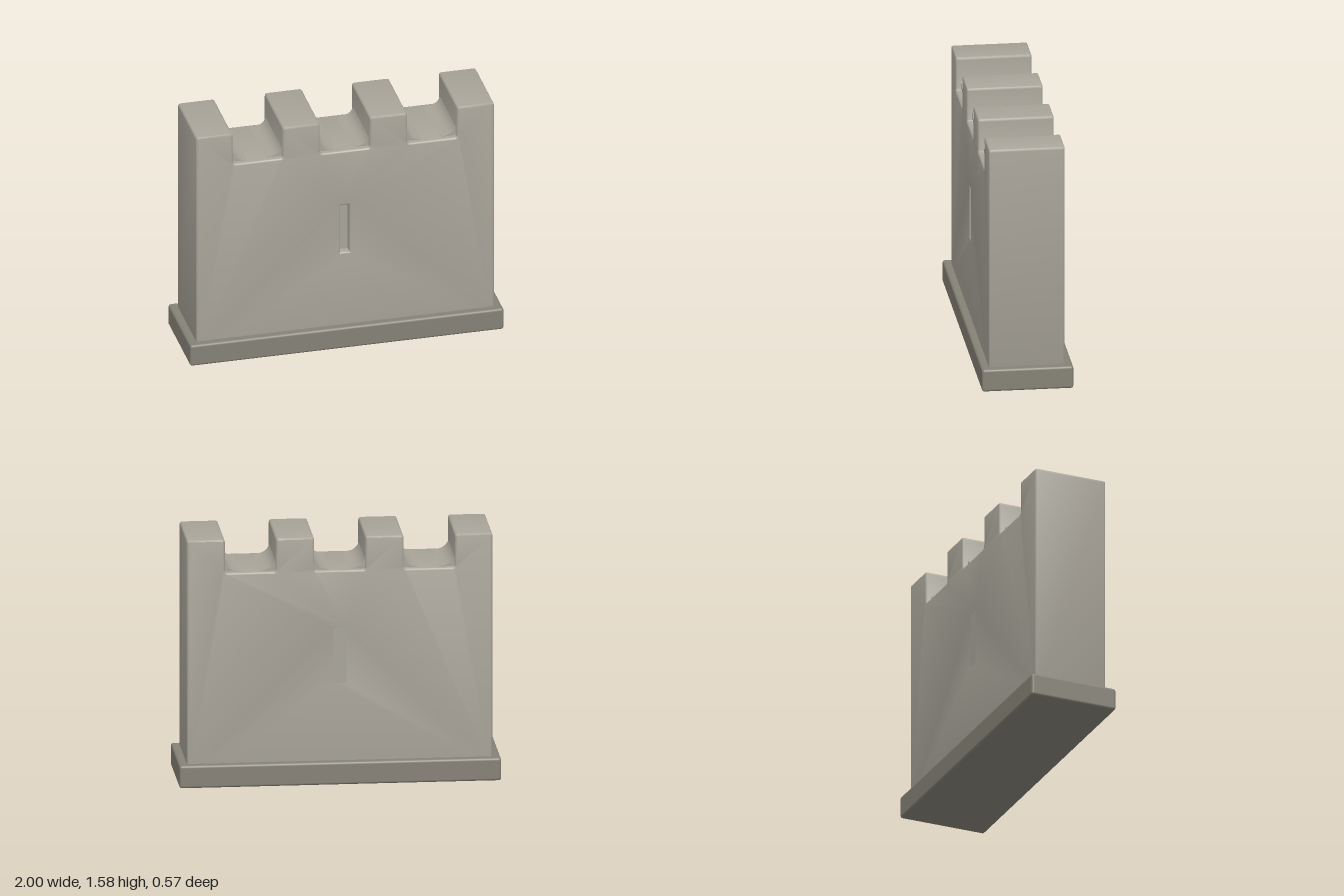
import * as THREE from 'three';
import { toCreasedNormals } from 'three/addons/utils/BufferGeometryUtils.js';
import { RoundedBoxGeometry } from 'three/addons/geometries/RoundedBoxGeometry.js';

const HALF_WIDTH = 0.95, HALF_DEPTH = 0.237, FLOOR = 1.36, TOP = 1.575, BASE = 0.145;
const GAPS = [[-0.717, -0.398], [-0.16, 0.158], [0.396, 0.713]];

// Closed outline with every corner softened by radius r
function roundedShape(points, r) {
  const shape = new THREE.Shape();
  const p = points.map(([x, y]) => new THREE.Vector2(x, y));
  p.forEach((corner, i) => {
    const toward = (q) => corner.clone().add(q.clone().sub(corner).setLength(r));
    const a = toward(p[(i + p.length - 1) % p.length]);
    const b = toward(p[(i + 1) % p.length]);
    if (i === 0) shape.moveTo(a.x, a.y);
    else shape.lineTo(a.x, a.y);
    shape.quadraticCurveTo(corner.x, corner.y, b.x, b.y);
  });
  shape.closePath();
  return shape;
}

export function createModel() {
  const model = new THREE.Group();
  const stone = new THREE.MeshStandardMaterial({ color: 0xa8a499 });
  const darkStone = new THREE.MeshStandardMaterial({ color: 0x858176 });

  const add = (name, geometry, material, x = 0, y = 0, z = 0) => {
    const mesh = new THREE.Mesh(geometry, material);
    mesh.name = name;
    mesh.position.set(x, y, z);
    model.add(mesh);
  };

  // Plinth
  add('plinth', new RoundedBoxGeometry(2, BASE, 0.57, 3, 0.016), darkStone, 0, BASE / 2, 0);

  // Wall with battlements, cut by the arrow slit
  const outline = [[-HALF_WIDTH, 0.06], [HALF_WIDTH, 0.06], [HALF_WIDTH, TOP]];
  for (const [left, right] of [...GAPS].reverse()) {
    outline.push([right, TOP], [right, FLOOR], [left, FLOOR], [left, TOP]);
  }
  outline.push([-HALF_WIDTH, TOP]);
  const wall = roundedShape(outline, 0.018);
  const slit = new THREE.Path();
  slit.moveTo(-0.03, 0.65).lineTo(-0.03, 0.98).lineTo(0.027, 0.98).lineTo(0.027, 0.65).closePath();
  wall.holes.push(slit);
  const bevel = 0.012;
  const wallGeometry = new THREE.ExtrudeGeometry(wall, {
    depth: 2 * (HALF_DEPTH - bevel), curveSegments: 4,
    bevelSize: bevel, bevelThickness: bevel, bevelOffset: -bevel, bevelSegments: 3,
  });
  wallGeometry.translate(0, 0, bevel - HALF_DEPTH);
  add('wall', toCreasedNormals(wallGeometry, 0.7), stone);

  // Solid stone behind the slit, which is only a shallow recess
  const recess = 0.05, fillDepth = 2 * HALF_DEPTH - recess;
  add('slitBack', new THREE.BoxGeometry(0.08, 0.353, fillDepth), stone, -0.0015, 0.815, -recess / 2);

  // Worn coves where the battlements meet the walkway
  const cove = new THREE.Shape();
  cove.moveTo(-0.01, -0.01).lineTo(0.1, -0.01).lineTo(0.1, 0);
  cove.quadraticCurveTo(0.02, 0.005, 0, 0.06);
  cove.lineTo(-0.01, 0.06).closePath();
  const coveDepth = 0.4;
  const coveGeometry = toCreasedNormals(
    new THREE.ExtrudeGeometry(cove, { depth: coveDepth, bevelEnabled: false, curveSegments: 6 })
      .translate(0, 0, -coveDepth / 2), 0.7);
  const mirrored = coveGeometry.clone().rotateY(Math.PI);
  for (const [left, right] of GAPS) {
    add('coveLeft', coveGeometry, stone, left, FLOOR, 0);
    add('coveRight', mirrored, stone, right, FLOOR, 0);
  }
  return model;
}
